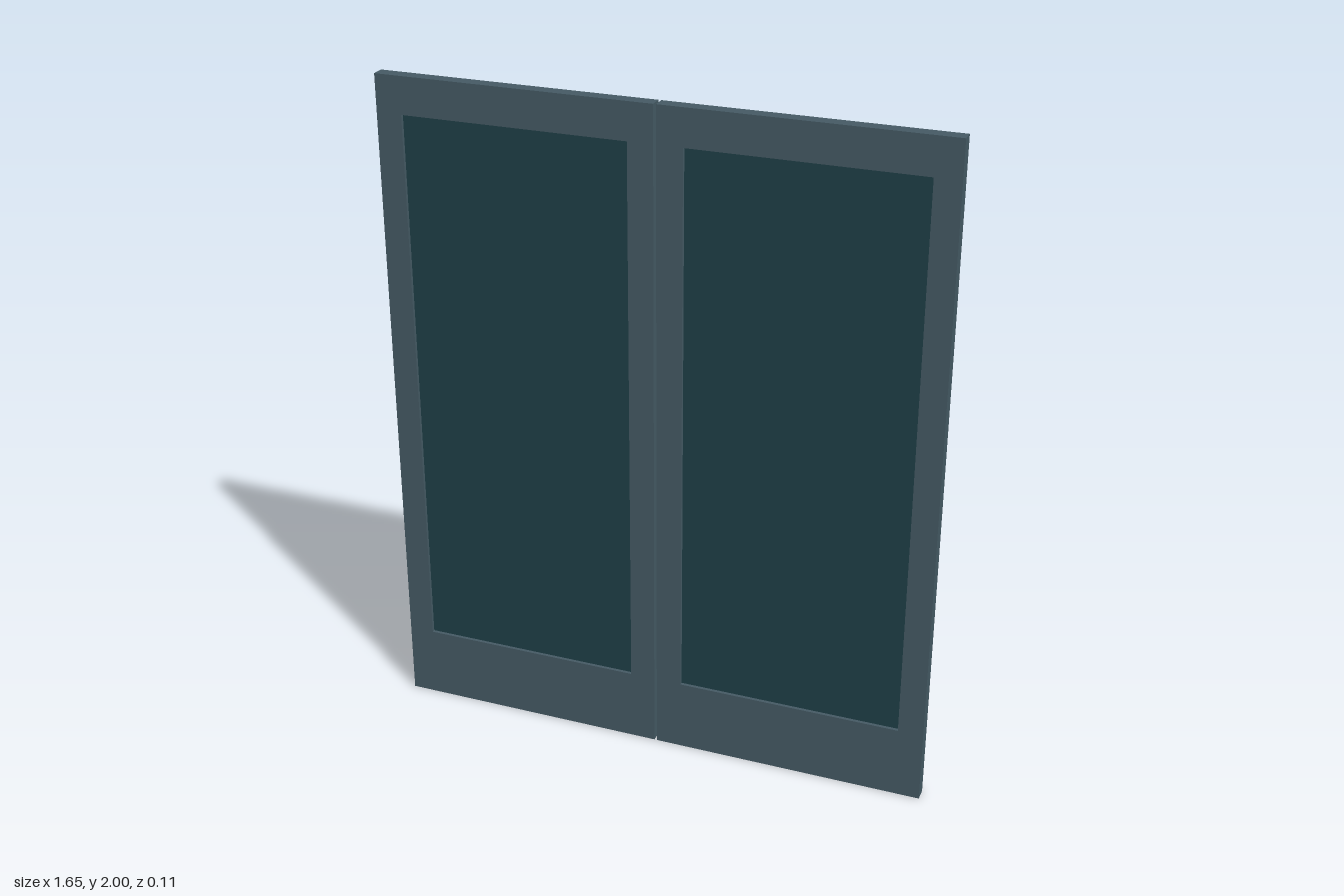
import * as THREE from 'three';

const frameMat = new THREE.MeshStandardMaterial({ color: 0x455a64 });
const panelMat = new THREE.MeshStandardMaterial({ color: 0x1f4048 });
const handleMat = new THREE.MeshStandardMaterial({ color: 0xb5ad98 });

const INNER = 0.004, OUTER = 0.826;   // door leaf extent in x
const BACK = 0.015, FRONT = 0.055;    // door leaf extent in z
const PANEL = { x0: 0.08, x1: 0.751, y0: 0.22, y1: 1.89 };

function polygon(points) {
  return points.map(([x, y]) => new THREE.Vector2(x, y));
}

function rect(x0, y0, x1, y1) {
  return polygon([[x0, y0], [x1, y0], [x1, y1], [x0, y1]]);
}

function mesh(name, geometry, material) {
  const m = new THREE.Mesh(geometry, material);
  m.name = name;
  return m;
}

// One door leaf; side is +1 for left, -1 for right
function createDoor(side) {
  const door = new THREE.Group();
  door.name = side > 0 ? 'leftDoor' : 'rightDoor';

  // Frame with a tall opening
  const shape = new THREE.Shape(rect(INNER, 0, OUTER, 2));
  shape.holes.push(new THREE.Path(rect(PANEL.x0, PANEL.y0, PANEL.x1, PANEL.y1)));
  const frameGeo = new THREE.ExtrudeGeometry(shape, { depth: FRONT - BACK, bevelEnabled: false });
  // Centred in x, so the symmetric leaf can be placed on either side
  const midX = (INNER + OUTER) / 2;
  frameGeo.translate(-midX, 0, BACK);
  const frame = mesh('doorFrame', frameGeo, frameMat);
  frame.position.x = side * midX;

  // Slightly recessed panel
  const panel = mesh('panel',
    new THREE.BoxGeometry(PANEL.x1 - PANEL.x0, PANEL.y1 - PANEL.y0, 0.02), panelMat);
  panel.position.set(side * (PANEL.x0 + PANEL.x1) / 2, (PANEL.y0 + PANEL.y1) / 2, (BACK + FRONT) / 2);

  // C-shaped pull handle on the back: profile in (z, y), extruded along x
  const z0 = -0.055, z1 = 0.026, y0 = 0.815, y1 = 1.172, t = 0.026, w = 0.031;
  const profile = new THREE.Shape(polygon([
    [z0, y0], [z1, y0], [z1, y0 + t], [z0 + t, y0 + t],
    [z0 + t, y1 - t], [z1, y1 - t], [z1, y1], [z0, y1],
  ]));
  const handleGeo = new THREE.ExtrudeGeometry(profile, { depth: w, bevelEnabled: false });
  handleGeo.translate(0, 0, -w / 2);
  handleGeo.rotateY(-Math.PI / 2);
  const handle = mesh('handle', handleGeo, handleMat);
  handle.position.x = side * 0.114;

  door.add(frame, panel, handle);
  return door;
}

export function createModel() {
  const model = new THREE.Group();
  model.name = 'doubleDoor';
  for (const side of [1, -1]) model.add(createDoor(side));
  return model;
}
